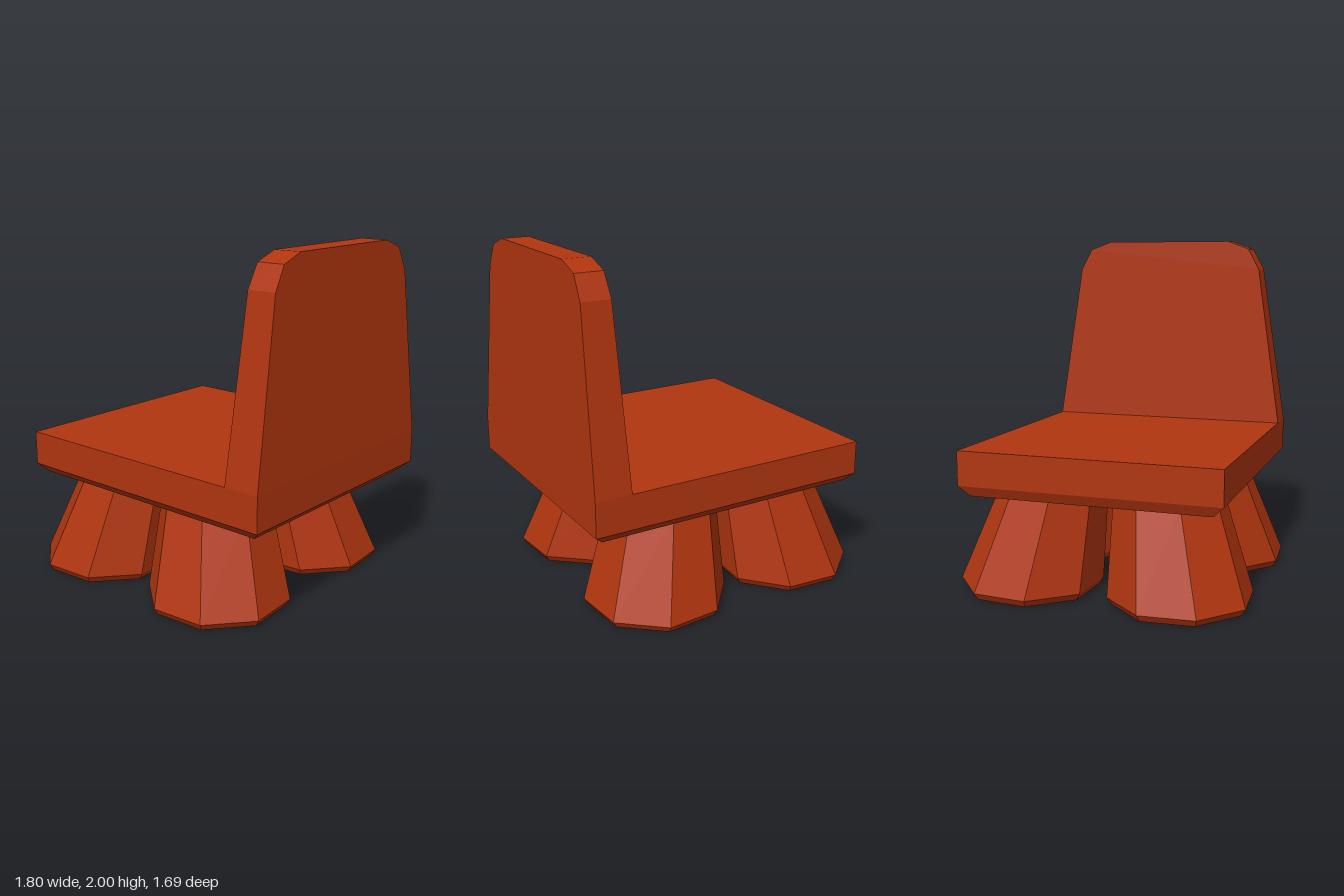
import * as THREE from 'three';

const material = new THREE.MeshStandardMaterial({ color: 0xb0350f, flatShading: true });

// Closed solid through stacked rings of [x, y, z], listed bottom to top
function loft(rings) {
  const n = rings[0].length, index = [];
  for (let r = 0; r < rings.length - 1; r++) {
    for (let i = 0; i < n; i++) {
      const a = r * n + i, b = r * n + (i + 1) % n;
      index.push(a, a + n, b, b, a + n, b + n);
    }
  }
  const top = (rings.length - 1) * n;
  for (let i = 1; i < n - 1; i++) index.push(0, i, i + 1, top, top + i + 1, top + i);
  const indexed = new THREE.BufferGeometry();
  indexed.setAttribute('position', new THREE.Float32BufferAttribute(rings.flat(2), 3));
  indexed.setIndex(index);
  const geometry = indexed.toNonIndexed();
  geometry.computeVertexNormals();
  return geometry;
}

const rectangle = (y, x0, x1, z) => [[x1, y, -z], [x1, y, z], [x0, y, z], [x0, y, -z]];

const octagon = (x, y, z, radius, phase) => Array.from({ length: 8 }, (_, i) => {
  const a = phase + i * Math.PI / 4;
  return [x + radius * Math.cos(a), y, z + radius * Math.sin(a)];
});

function createBackrest() {
  const half = [[0.76, 0.83], [0.61, 1.82], [0.54, 1.95], [0.405, 2]];
  const mirrored = half.map(([s, y]) => [-s, y]).reverse();
  const shape = new THREE.Shape([...half, ...mirrored].map(([s, y]) => new THREE.Vector2(s, y)));
  const geometry = new THREE.ExtrudeGeometry(shape, { depth: 1, bevelEnabled: false });
  geometry.rotateY(Math.PI / 2);
  // Thin the slab towards its top
  const p = geometry.attributes.position;
  for (let i = 0; i < p.count; i++) {
    const t = (p.getY(i) - 0.83) / 1.17;
    p.setX(i, THREE.MathUtils.lerp(0.687 + 0.025 * t, 0.9 - 0.025 * t, p.getX(i)));
  }
  geometry.computeVertexNormals();
  return geometry;
}

export function createModel() {
  const model = new THREE.Group();
  model.name = 'chair';
  const add = (name, geometry) => {
    const mesh = new THREE.Mesh(geometry, material);
    mesh.name = name;
    model.add(mesh);
  };

  // Seat slab with a chamfered underside
  add('seat', loft([
    rectangle(0.57, -0.78, 0.835, 0.697),
    rectangle(0.63, -0.81, 0.9, 0.76),
    rectangle(0.83, -0.81, 0.9, 0.76),
  ]));

  add('backrest', createBackrest());

  // Splayed, tapered eight-sided legs with a small chamfer at the foot
  const turn = THREE.MathUtils.degToRad(18);
  for (const side of [-1, 1]) {
    for (const end of [-1, 1]) {
      const footX = side < 0 ? -0.505 : 0.382, topX = side < 0 ? -0.4 : 0.278;
      const phase = side < 0 && end < 0 ? -turn : turn;
      add((end > 0 ? 'front' : 'back') + (side > 0 ? 'Left' : 'Right') + 'Leg', loft([
        octagon(footX, 0, end * 0.45, 0.388, phase),
        octagon(footX, 0.04, end * 0.45, 0.415, phase),
        octagon(topX, 0.575, end * 0.35, 0.317, phase),
      ]));
    }
  }
  return model;
}
